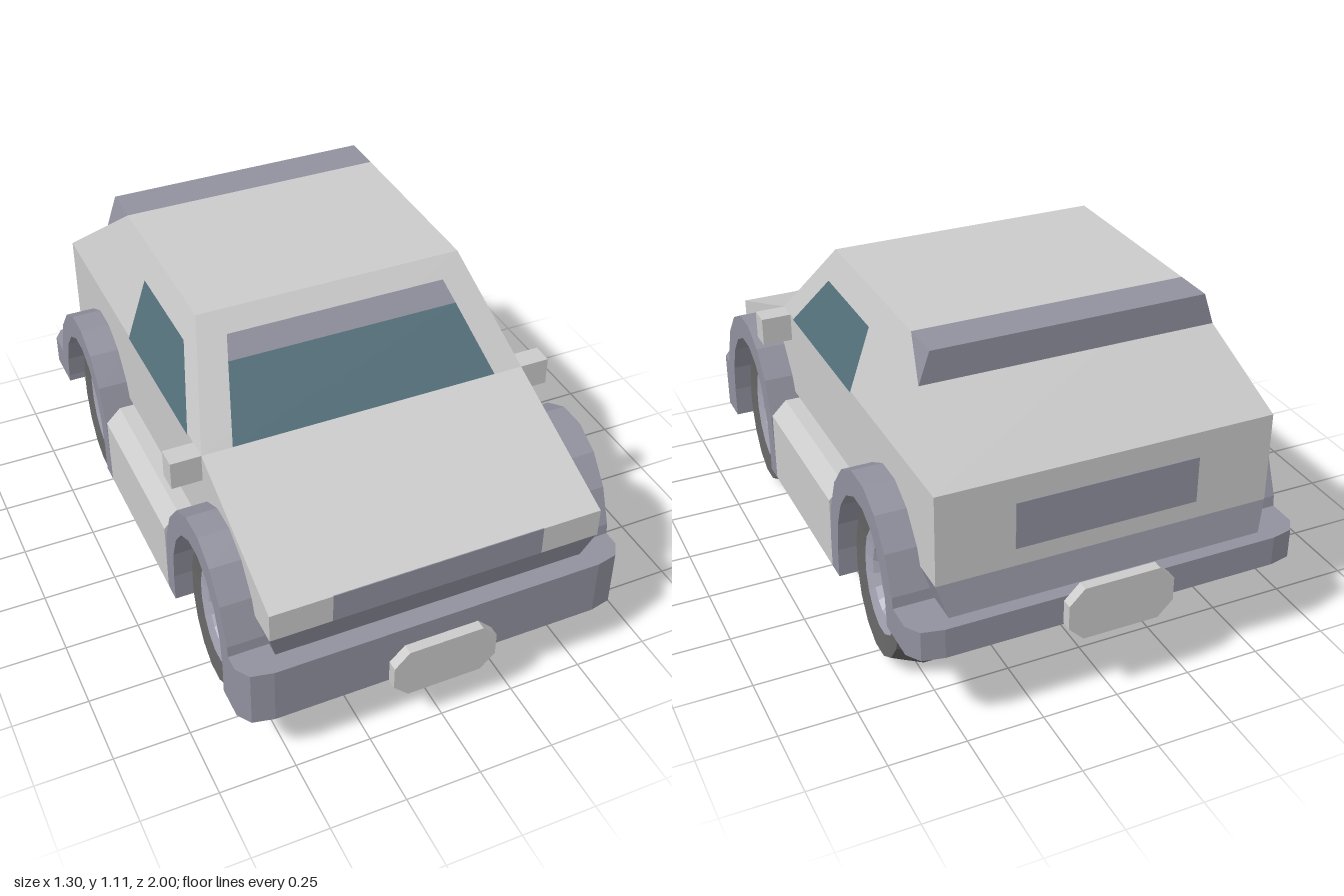
import * as THREE from 'three';

const mat = (color, side = THREE.FrontSide) =>
  new THREE.MeshStandardMaterial({ color, flatShading: true, side });
const paint = mat(0xcccccc), plastic = mat(0x9292a0), rubber = mat(0x666666);
const metal = mat(0xa6a6b6), lampMat = mat(0xdddddd), plateMat = mat(0xd0d0d4);
const glass = mat(0x54717b, THREE.DoubleSide), trim = mat(0x9292a0, THREE.DoubleSide);

// Half width of the body at height y
const halfWidth = y => y > 0.8 ? 0.55 - (y - 0.8) / 3 : y < 0.5 ? 0.55 - (0.5 - y) * 0.3 : 0.55;
// Distance forward of the windscreen plane at height y
const screenZ = y => 0.42 - (y - 0.8) * 0.28 / 0.3;

const toShape = pts => new THREE.Shape(pts.map(p => new THREE.Vector2(p[0], p[1])));

// Side profile of [z, y] points, extruded across x between x0 and x1
function sideExtrude(shape, x0, x1) {
  const g = new THREE.ExtrudeGeometry(shape, { depth: x1 - x0, bevelEnabled: false });
  return g.rotateY(-Math.PI / 2).translate(x1, 0, 0);
}

// Symmetric body section whose width follows halfWidth(y)
function bodySection(profile) {
  const g = sideExtrude(toShape(profile), -1, 1), p = g.attributes.position;
  for (let i = 0; i < p.count; i++) p.setX(i, p.getX(i) * halfWidth(p.getY(i)));
  g.computeVertexNormals();
  return g;
}

// Flat four-cornered panel
function pane(corners) {
  const g = new THREE.BufferGeometry();
  g.setAttribute('position', new THREE.Float32BufferAttribute(corners.flat(), 3));
  g.setIndex([0, 1, 2, 0, 2, 3]);
  g.computeVertexNormals();
  return g;
}

function boxBetween(x0, x1, y0, y1, z0, z1) {
  return new THREE.BoxGeometry(x1 - x0, y1 - y0, z1 - z0)
    .translate((x0 + x1) / 2, (y0 + y1) / 2, (z0 + z1) / 2);
}

// Bumper with chamfered corners; dir is 1 for the front, -1 for the rear
function bumper(dir, inner, y0, y1) {
  const half = [[0.65, inner], [0.65, 0.905], [0.62, 0.95], [0.55, 0.965]];
  const pts = [...half, ...half.map(([x, z]) => [-x, z]).reverse()];
  const g = new THREE.ExtrudeGeometry(toShape(pts.map(([x, z]) => [x, -dir * z])),
    { depth: y1 - y0, bevelEnabled: false });
  return g.rotateX(-Math.PI / 2).translate(0, y0, 0);
}

// Oval arch flare; each leg has its own foot height
function archShape(zc, frontFoot, rearFoot) {
  const n = 9, outer = [], inner = [];
  for (let i = 0; i <= n; i++) {
    const a = Math.PI * i / n, c = Math.cos(a), s = Math.sin(a);
    outer.push([zc + 0.277 * c, 0.3 + 0.396 * s]);
    inner.push([zc + 0.213 * c, 0.3 + 0.31 * s]);
  }
  return toShape([[zc + 0.277, frontFoot], ...outer, [zc - 0.277, rearFoot],
    [zc - 0.213, rearFoot], ...inner.reverse(), [zc + 0.213, frontFoot]]);
}

// Lathe about the x axis from [radius, x] points, squeezed in z to an oval
function wheelLathe(points) {
  const n = 16;
  return new THREE.LatheGeometry(points.map(p => new THREE.Vector2(p[0], p[1])), n)
    .rotateZ(-Math.PI / 2).rotateX(Math.PI / n).scale(1, 1, 0.69);
}

export function createModel() {
  const car = new THREE.Group();
  car.name = 'car';
  const add = (name, geometry, material, parent = car) => {
    const m = new THREE.Mesh(geometry, material);
    m.name = name;
    parent.add(m);
    return m;
  };

  // Body shell
  add('lowerBody', bodySection([[0.93, 0.5], [0.93, 0.6], [0.42, 0.8], [-0.895, 0.8], [-0.895, 0.5]]), paint);
  add('cabin', bodySection([[0.42, 0.8], [0.14, 1.105], [-0.5, 1.105], [-0.895, 0.8]]), paint);
  add('spoiler', bodySection([[-0.5, 1.105], [-0.635, 1.105], [-0.635, 1.0]]), plastic);
  add('skirt', bodySection([[0.93, 0.5], [-0.895, 0.5], [-0.92, 0.4], [0.9, 0.4]]), plastic);
  add('floor', boxBetween(-0.55, 0.55, 0.2, 0.41, -0.76, 0.82), plastic);

  // Bumpers and plates
  add('frontBumper', bumper(1, 0.8, 0.2, 0.4), plastic);
  add('rearBumper', bumper(-1, 0.76, 0.3, 0.4), plastic);
  const plate = toShape([[-0.125, -0.09], [0.125, -0.09], [0.175, -0.04], [0.175, 0.04],
    [0.125, 0.09], [-0.125, 0.09], [-0.175, 0.04], [-0.175, -0.04]]);
  for (const [name, y, z] of [['frontPlate', 0.24, 0.965], ['rearPlate', 0.345, -1]]) {
    const g = new THREE.ExtrudeGeometry(plate, { depth: 0.035, bevelEnabled: false });
    add(name, g.translate(0, y, z), plateMat);
  }

  // Nose and tail panels
  add('grille', boxBetween(-0.35, 0.35, 0.5, 0.6, 0.92, 0.933), plastic);
  add('tailPanel', boxBetween(-0.3, 0.3, 0.56, 0.715, -0.898, -0.88), plastic);

  // Windscreen with a sun strip along its top
  const screen = (y0, w0, y1, w1) => pane([[-w0, y0], [w0, y0], [w1, y1], [-w1, y1]]
    .map(([x, y]) => [x, y + 0.003, screenZ(y) + 0.003]));
  add('windscreen', screen(0.8, 0.45, 0.985, 0.39), glass);
  add('sunStrip', screen(0.985, 0.39, 1.045, 0.37), trim);

  // Parts on both sides
  for (const s of [1, -1]) {
    const tag = s > 0 ? 'left' : 'right';
    const span = (a, b) => s > 0 ? [a, b] : [-b, -a];
    add(tag + 'Headlight', boxBetween(...span(0.35, 0.55), 0.5, 0.6, 0.92, 0.933), lampMat);
    add(tag + 'Mirror', boxBetween(...span(0.54, 0.65), 0.705, 0.8, 0.35, 0.42), paint);
    add(tag + 'Window', pane([[0.31, 0.8], [0.12, 1.01], [-0.245, 1.01], [-0.245, 0.8]]
      .map(([z, y]) => [s * (halfWidth(y) + 0.004), y, z])), glass);

    // Sill with a bevelled upper edge
    const sill = toShape([[0.5, 0.2], [0.65, 0.2], [0.65, 0.45], [0.6, 0.5], [0.5, 0.5]]
      .map(([x, y]) => [s * x, y]));
    add(tag + 'Sill', new THREE.ExtrudeGeometry(sill, { depth: 0.585, bevelEnabled: false })
      .translate(0, 0, -0.275), paint);

    // Arches and wheels
    for (const [end, z, rearFoot] of [['Front', 0.588, 0.2], ['Rear', -0.55, 0.3]]) {
      add(tag + end + 'Arch', sideExtrude(archShape(z, 0.2, rearFoot), ...span(0.5, 0.65)), plastic);
      const wheel = new THREE.Group();
      wheel.name = tag + end + 'Wheel';
      add('tyre', wheelLathe([[0, 0.25], [0.255, 0.25], [0.306, 0.35], [0.306, 0.5],
        [0.26, 0.6], [0.185, 0.59]]), rubber, wheel);
      add('rim', wheelLathe([[0.185, 0.59], [0.125, 0.58], [0.1, 0.55]]), metal, wheel);
      add('hub', wheelLathe([[0.1, 0.55], [0.095, 0.565], [0, 0.565]]), metal, wheel);
      wheel.position.set(0, 0.3, z);
      if (s < 0) wheel.rotation.y = Math.PI;
      car.add(wheel);
    }
  }
  return car;
}
